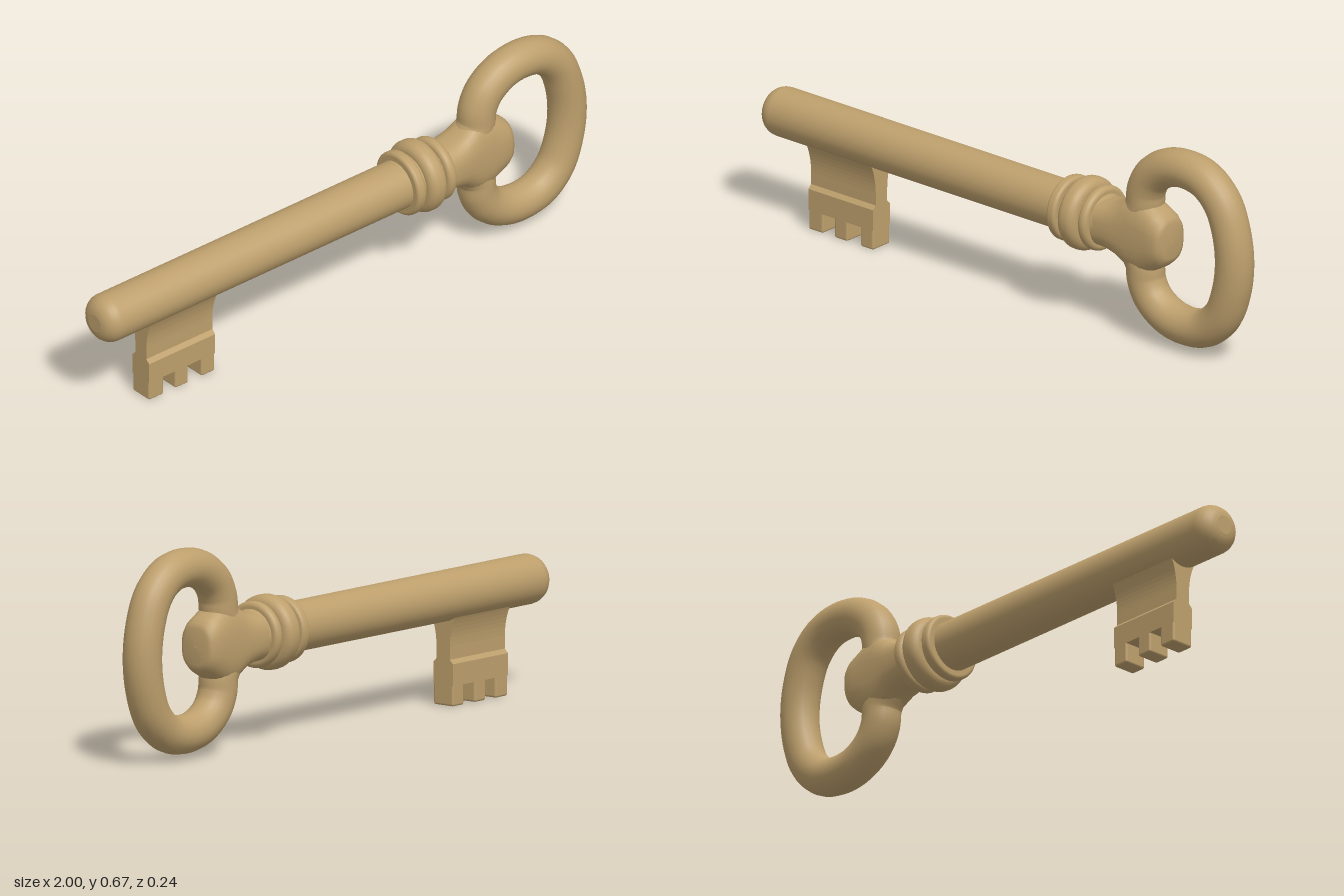
import * as THREE from 'three';
import { RoundedBoxGeometry } from 'three/addons/geometries/RoundedBoxGeometry.js';

const AXIS = 0.348; // height of the shaft axis

export function createModel() {
  const key = new THREE.Group();
  key.name = 'key';
  const brass = new THREE.MeshStandardMaterial({ color: 0xbd9f6c });
  brass.name = 'aged brass';

  const add = (name, geometry) => {
    const mesh = new THREE.Mesh(geometry, brass);
    mesh.name = name;
    key.add(mesh);
    return mesh;
  };

  // Turned part along x, from [x, radius] pairs
  const turned = (name, profile) => {
    const points = profile.map(([x, r]) => new THREE.Vector2(r, x));
    const geometry = new THREE.LatheGeometry(points, 40);
    geometry.rotateZ(-Math.PI / 2);
    geometry.translate(0, AXIS, 0);
    return add(name, geometry);
  };

  // Round bead with softened rims
  const bead = (name, x0, x1, radius, round) => {
    const profile = [[x0, 0.05]];
    for (let i = 0; i <= 6; i++) {
      const a = (i / 6) * Math.PI / 2;
      profile.push([x0 + round * (1 - Math.cos(a)), radius - round * (1 - Math.sin(a))]);
    }
    for (let i = 6; i >= 0; i--) {
      const a = (i / 6) * Math.PI / 2;
      profile.push([x1 - round * (1 - Math.cos(a)), radius - round * (1 - Math.sin(a))]);
    }
    profile.push([x1, 0.05]);
    return turned(name, profile);
  };

  // Shaft with a rounded tip
  const shaft = [[-1, 0], [-1, 0.03]];
  for (let i = 0; i <= 6; i++) {
    const a = (i / 6) * Math.PI / 2;
    shaft.push([-0.945 - 0.055 * Math.cos(a), 0.025 + 0.055 * Math.sin(a)]);
  }
  shaft.push([-0.3, 0.08], [0.25, 0.08]);
  turned('shaft', shaft);

  // Collar: three beads on a core
  turned('collarCore', [[0.24, 0.08], [0.25, 0.088], [0.39, 0.088], [0.42, 0.076]]);
  bead('innerBead', 0.238, 0.274, 0.107, 0.012);
  bead('middleBead', 0.286, 0.358, 0.12, 0.03);
  bead('outerBead', 0.366, 0.402, 0.106, 0.016);

  // Hub: rounded oval sections [x, half height, half depth] flaring into the bow
  const sections = [
    [0.39, 0.077, 0.08], [0.44, 0.08, 0.079], [0.48, 0.093, 0.077], [0.51, 0.115, 0.075],
    [0.54, 0.135, 0.074], [0.58, 0.132, 0.073], [0.62, 0.108, 0.072], [0.65, 0.09, 0.07],
    [0.667, 0.075, 0.062], [0.674, 0.058, 0.048], [0.675, 0.001, 0.001],
  ];
  const sides = 32;
  const positions = [];
  const indices = [];
  const soft = (v) => Math.sign(v) * Math.abs(v) ** 0.8;
  sections.forEach(([x, ry, rz], i) => {
    for (let j = 0; j < sides; j++) {
      const a = (j / sides) * Math.PI * 2;
      positions.push(x, AXIS - 0.002 + ry * soft(Math.cos(a)), rz * soft(Math.sin(a)));
      if (i < sections.length - 1) {
        const p = i * sides + j;
        const q = i * sides + (j + 1) % sides;
        indices.push(p, q, p + sides, q, q + sides, p + sides);
      }
    }
  });
  const hub = new THREE.BufferGeometry();
  hub.setAttribute('position', new THREE.Float32BufferAttribute(positions, 3));
  hub.setIndex(indices);
  hub.computeVertexNormals();
  add('hub', hub);

  // Bow: a D-shaped tube, mirrored about its mid height, both ends inside the hub
  const upper = [
    [0.53, 0.05], [0.56, 0.1], [0.567, 0.152], [0.595, 0.205], [0.66, 0.25],
    [0.74, 0.264], [0.82, 0.247], [0.885, 0.19], [0.922, 0.1],
  ];
  const lower = upper.map(([x, y]) => [x, -y]).reverse();
  const path = [...upper, [0.935, 0], ...lower]
    .map(([x, y]) => new THREE.Vector3(x, 0.342 + y, 0));
  add('bow', new THREE.TubeGeometry(new THREE.CatmullRomCurve3(path), 96, 0.062, 20));

  // Bit: thick foot, thin web and a flare into the shaft
  const bit = new THREE.Shape();
  bit.moveTo(-0.04, 0.065);
  bit.lineTo(0.04, 0.065);
  bit.lineTo(0.04, 0.135);
  bit.lineTo(0.027, 0.148);
  bit.lineTo(0.027, 0.19);
  bit.quadraticCurveTo(0.028, 0.25, 0.055, 0.3);
  bit.lineTo(-0.055, 0.3);
  bit.quadraticCurveTo(-0.028, 0.25, -0.027, 0.19);
  bit.lineTo(-0.027, 0.148);
  bit.lineTo(-0.04, 0.135);
  bit.closePath();
  const bitGeometry = new THREE.ExtrudeGeometry(bit, { depth: 0.27, bevelEnabled: false, curveSegments: 8 });
  bitGeometry.rotateY(Math.PI / 2);
  bitGeometry.translate(-0.81, 0, 0);
  add('bit', bitGeometry);

  // Three teeth below the bit
  [[-0.81, -0.75], [-0.702, -0.648], [-0.595, -0.54]].forEach(([x0, x1], i) => {
    const tooth = add(`tooth${i + 1}`, new RoundedBoxGeometry(x1 - x0, 0.1, 0.08, 2, 0.007));
    tooth.position.set((x0 + x1) / 2, 0.05, 0);
  });

  return key;
}
